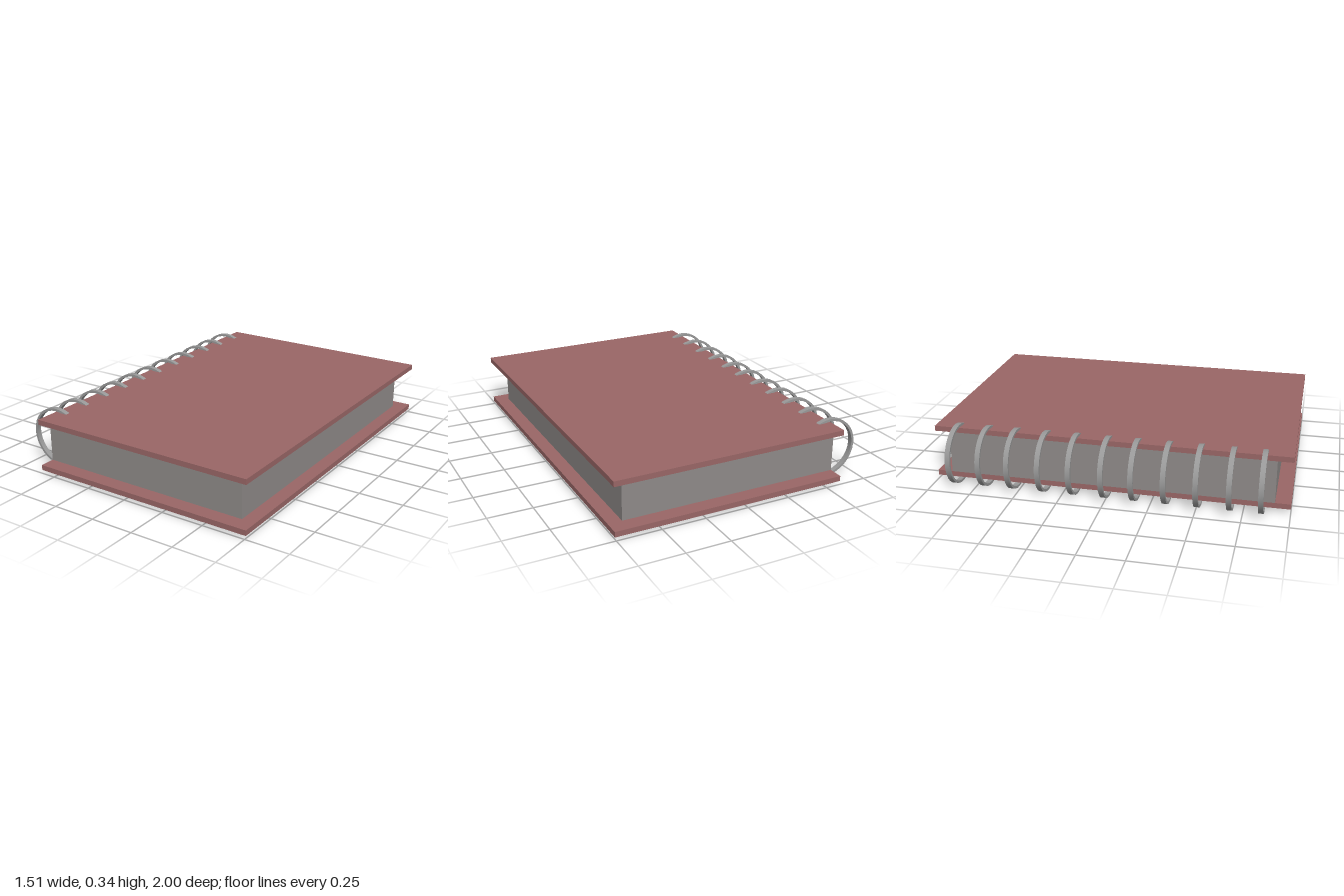
import * as THREE from 'three';
import { toCreasedNormals } from 'three/addons/utils/BufferGeometryUtils.js';

export function createModel() {
  const model = new THREE.Group();
  model.name = 'ringBinderNotebook';

  const coverMat = new THREE.MeshStandardMaterial({ color: 0x996666 });
  const pageMat = new THREE.MeshStandardMaterial({ color: 0x8e8a88 });
  const ringMat = new THREE.MeshStandardMaterial({ color: 0x999999 });

  // Box given by its lower and upper limits on each axis
  const slab = (name, mat, [x0, x1], [y0, y1], [z0, z1]) => {
    const mesh = new THREE.Mesh(new THREE.BoxGeometry(x1 - x0, y1 - y0, z1 - z0), mat);
    mesh.position.set((x0 + x1) / 2, (y0 + y1) / 2, (z0 + z1) / 2);
    mesh.name = name;
    model.add(mesh);
  };

  // Covers overhang the page block on three sides
  slab('backCover', coverMat, [-0.587, 0.757], [0.027, 0.057], [-1, 1]);
  slab('pageBlock', pageMat, [-0.587, 0.68], [0.057, 0.3], [-0.914, 0.914]);
  slab('frontCover', coverMat, [-0.587, 0.757], [0.3, 0.33], [-1, 1]);

  // Flat-wire binding rings along the spine
  const outer = 0.171, inner = 0.157, half = 0.014;
  const section = [[inner, -half], [outer, -half], [outer, half], [inner, half], [inner, -half]]
    .map(([r, y]) => new THREE.Vector2(r, y));
  const ringGeo = toCreasedNormals(new THREE.LatheGeometry(section, 32), 0.6);
  ringGeo.rotateX(Math.PI / 2);

  const rings = new THREE.Group();
  rings.name = 'bindingRings';
  const ringZ = [-0.865, -0.692, -0.528, -0.353, -0.181, -0.003, 0.161, 0.335, 0.507, 0.682, 0.848];
  ringZ.forEach((z, i) => {
    const ring = new THREE.Mesh(ringGeo, ringMat);
    ring.position.set(-0.586, 0.177, z);
    ring.name = `ring${i + 1}`;
    rings.add(ring);
  });
  model.add(rings);

  return model;
}
